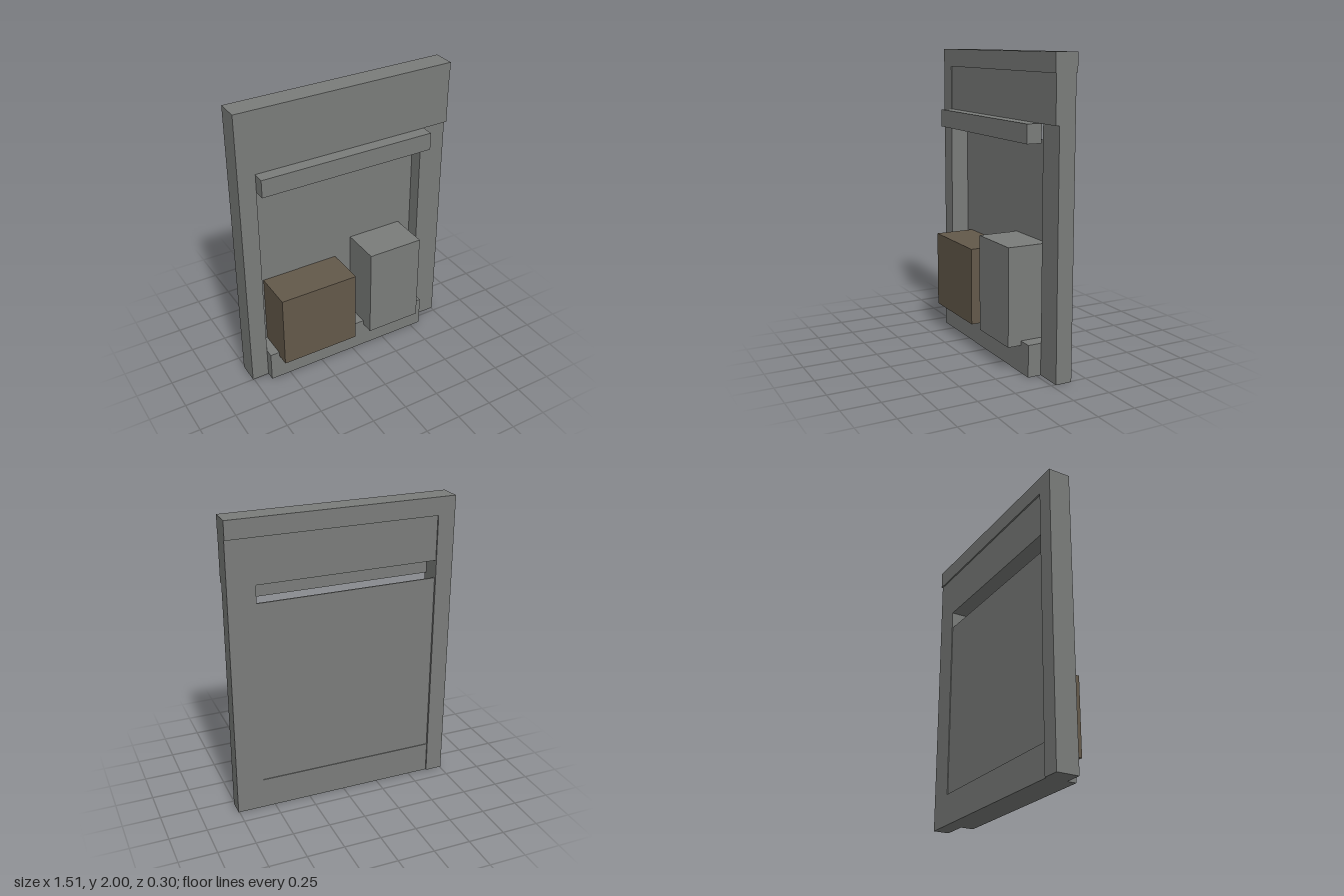
import * as THREE from 'three';

export function createModel() {
  const group = new THREE.Group();
  const grey = new THREE.MeshStandardMaterial({ color: 0x7a7c7a });
  grey.name = 'grey';
  const brown = new THREE.MeshStandardMaterial({ color: 0x63594a });
  brown.name = 'brown';

  // Box given by its minimum and maximum on each axis
  function block(name, material, [x0, x1], [y0, y1], [z0, z1]) {
    const mesh = new THREE.Mesh(new THREE.BoxGeometry(x1 - x0, y1 - y0, z1 - z0), material);
    mesh.position.set((x0 + x1) / 2, (y0 + y1) / 2, (z0 + z1) / 2);
    mesh.name = name;
    group.add(mesh);
  }

  const left = -0.757, right = 0.757; // outer edges
  const inL = -0.64, inR = 0.575;     // opening edges

  // Frame
  block('topCap', grey, [left, right], [1.88, 2], [-0.15, 0]);
  block('rightPost', grey, [left, inL], [0, 1.88], [-0.15, 0]);
  block('leftPost', grey, [inR, right], [0, 1.58], [-0.14, -0.03]);
  block('header', grey, [inL, right], [1.58, 1.88], [-0.14, -0.005]);
  block('sill', grey, [inL, inR], [0, 0.21], [-0.14, 0.06]);

  // Thin back panel, leaving a slot below the header
  block('backPanel', grey, [inL, inR], [0.21, 1.46], [-0.135, -0.125]);

  // Front rail
  block('rail', grey, [inL, inR], [1.46, 1.58], [-0.02, 0.08]);

  // Boxes standing in the recess
  block('brownBox', brown, [-0.577, -0.03], [0.18, 0.7], [-0.125, 0.15]);
  block('greyBox', grey, [0.09, 0.48], [0.18, 0.82], [-0.125, 0.15]);

  return group;
}
